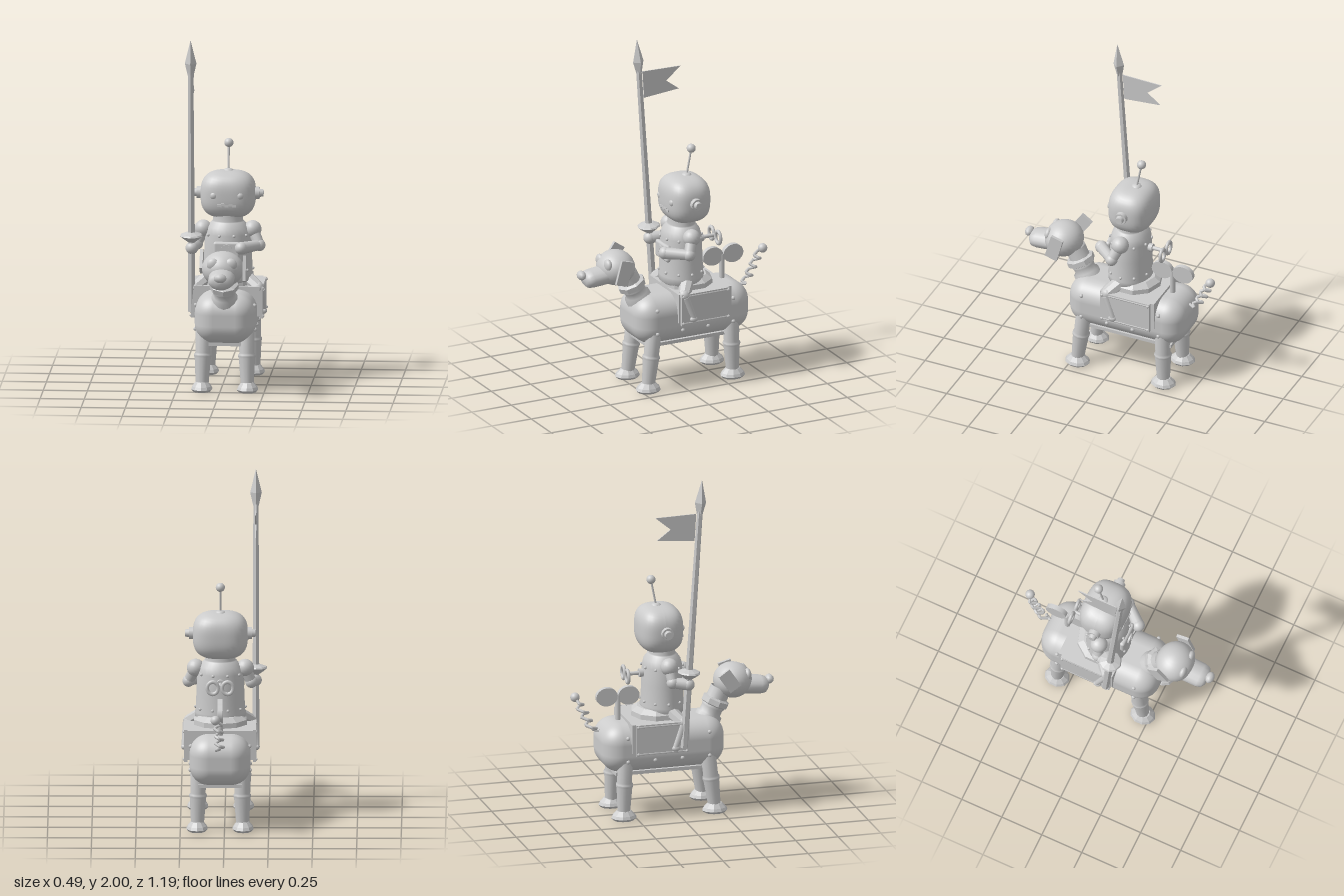
import * as THREE from 'three';
import { RoundedBoxGeometry } from 'three/addons/geometries/RoundedBoxGeometry.js';

const smooth = new THREE.MeshStandardMaterial({ color: 0xcccccc, side: THREE.DoubleSide });
const faceted = new THREE.MeshStandardMaterial({ color: 0xcccccc, side: THREE.DoubleSide, flatShading: true });
const V = (x, y, z) => new THREE.Vector3(x, y, z);

export function createModel() {
  const model = new THREE.Group();
  const root = new THREE.Group();
  root.name = 'toyRider';
  root.position.x = 0.025;
  model.add(root);

  const add = (name, geo, x = 0, y = 0, z = 0, mat = smooth) => {
    const m = new THREE.Mesh(geo, mat);
    m.name = name;
    m.position.set(x, y, z);
    root.add(m);
    return m;
  };
  const ball = (name, r, x, y, z, sx = 1, sy = 1, sz = 1, seg = 20) => {
    const m = add(name, new THREE.SphereGeometry(r, seg, Math.ceil(seg * 0.6)), x, y, z);
    m.scale.set(sx, sy, sz);
    return m;
  };
  const box = (name, w, h, d, x, y, z) => add(name, new THREE.BoxGeometry(w, h, d), x, y, z, faceted);
  // Lathe along the line from a to b; profile points are [radius, distance from a]
  const turned = (name, a, b, profile, seg = 12, mat = smooth) => {
    const m = add(name, new THREE.LatheGeometry(profile.map(p => new THREE.Vector2(...p)), seg), a.x, a.y, a.z, mat);
    m.quaternion.setFromUnitVectors(V(0, 1, 0), b.clone().sub(a).normalize());
    return m;
  };
  const rod = (name, a, b, r1, r2 = r1, seg = 12, mat = smooth) => {
    const m = add(name, new THREE.CylinderGeometry(r2, r1, a.distanceTo(b), seg), 0, 0, 0, mat);
    m.position.copy(a).lerp(b, 0.5);
    m.quaternion.setFromUnitVectors(V(0, 1, 0), b.clone().sub(a).normalize());
    return m;
  };
  // Sphere pushed out toward a box
  const superBall = (name, w, h, d, n, x, y, z) => {
    const g = new THREE.SphereGeometry(1, 40, 28), p = g.attributes.position;
    for (let i = 0; i < p.count; i++) {
      const v = V().fromBufferAttribute(p, i);
      const k = (Math.abs(v.x) ** n + Math.abs(v.y) ** n + Math.abs(v.z) ** n) ** (-1 / n);
      p.setXYZ(i, v.x * k * w / 2, v.y * k * h / 2, v.z * k * d / 2);
    }
    g.computeVertexNormals();
    return add(name, g, x, y, z);
  };

  // Dog body, belly plate and saddle box
  add('dogBody', new RoundedBoxGeometry(0.345, 0.285, 0.72, 6, 0.11), 0, 0.413, -0.083);
  box('bellyPlate', 0.25, 0.02, 0.58, 0, 0.27, -0.08);
  box('saddleBox', 0.37, 0.17, 0.335, 0, 0.487, -0.123);
  for (const s of [-1, 1]) {
    box('sidePanel', 0.018, 0.185, 0.305, s * 0.194, 0.48, -0.118);
    for (const y of [0.4, 0.56]) rod('panelRail', V(s * 0.199, y, 0.035), V(s * 0.199, y, -0.27), 0.007, 0.007, 6);
    for (const z of [0.025, -0.26]) for (const y of [0.4, 0.56]) ball('panelRivet', 0.009, s * 0.203, y, z, 1, 1, 1, 8);
    for (const z of [0.17, -0.31]) ball('bodyRivet', 0.012, s * 0.166, 0.488, z, 1, 1, 1, 8);
    for (const z of [0.17, 0.01, -0.15, -0.31]) ball('lowerRivet', 0.012, s * 0.168, 0.35, z, 1, 1, 1, 8);
  }

  // Dog legs with knee ring and domed foot
  for (const s of [-1, 1]) for (const [zTop, zFoot] of [[0.17, 0.21], [-0.315, -0.325]]) {
    const a = V(s * 0.128, 0.03, zFoot), b = V(s * 0.122, 0.37, zTop);
    turned('dogLeg', a, b, [[0.036, 0], [0.046, 0.16], [0.05, 0.17], [0.05, 0.18], [0.043, 0.19], [0.046, 0.33], [0.03, 0.36], [0, 0.365]]);
    const foot = turned('dogFoot', V(s * 0.13, 0, zFoot), V(s * 0.13, 1, zFoot),
      [[0, 0], [0.05, 0], [0.062, 0.014], [0.055, 0.03], [0.035, 0.055], [0, 0.058]], 10, faceted);
    foot.scale.z = 1.2;
  }

  // Dog neck, collar and head
  turned('dogNeck', V(0, 0.49, 0.19), V(0, 0.68, 0.28), [[0.08, 0], [0.075, 0.06], [0.062, 0.065], [0.062, 0.1], [0.068, 0.11], [0.06, 0.125], [0.06, 0.22]], 14);
  turned('dogCollar', V(0, 0.59, 0.24), V(0, 0.69, 0.285), [[0.06, 0], [0.082, 0.01], [0.082, 0.04], [0.06, 0.05]], 8, faceted);
  ball('dogHead', 0.11, 0, 0.732, 0.352, 1.08, 0.92, 1, 28);
  turned('dogSnout', V(0, 0.7, 0.42), V(0, 0.685, 0.57), [[0.075, 0], [0.073, 0.09], [0.064, 0.12], [0.04, 0.135], [0, 0.138]], 16).scale.z = 0.72;
  ball('dogNose', 0.03, 0, 0.718, 0.568, 1.2, 0.9, 0.85, 10);
  for (const s of [-1, 1]) {
    ball('dogEye', 0.036, s * 0.05, 0.77, 0.425, 1, 1, 0.6);
    const ear = box('dogEar', 0.018, s > 0 ? 0.145 : 0.12, 0.075, s * 0.124, s > 0 ? 0.735 : 0.765, s > 0 ? 0.358 : 0.3);
    ear.rotation.x = s > 0 ? -0.27 : -0.6;
  }

  // Spring tail
  const tail = [V(0, 0.5, -0.43)];
  for (let i = 0; i <= 14; i++) {
    const t = i / 14, a = i * Math.PI / 2;
    tail.push(V(Math.cos(a) * 0.024 + t * 0.01, 0.5 + t * 0.17, -0.468 - t * 0.085 + Math.sin(a) * 0.028));
  }
  tail.push(V(0.025, 0.7, -0.568));
  const path = new THREE.CurvePath();
  for (let i = 1; i < tail.length; i++) path.add(new THREE.LineCurve3(tail[i - 1], tail[i]));
  add('springTail', new THREE.TubeGeometry(path, 64, 0.009, 6));
  ball('tailTip', 0.027, 0.025, 0.7, -0.568);

  // Wind-up key on the dog's rump
  rod('dogKeyPost', V(0, 0.53, -0.322), V(0, 0.7, -0.322), 0.016);
  for (const s of [-1, 1]) {
    const wing = rod('dogKeyWing', V(-0.014, 0.695, -0.325 + s * 0.064), V(0.014, 0.695, -0.325 + s * 0.064), 0.054, 0.054, 20);
    wing.scale.z = 1.17;
  }

  // Seat and robot torso
  const seat = turned('seat', V(0, 0.57, -0.095), V(0, 1, -0.095), [[0, 0], [0.15, 0], [0.148, 0.03], [0.115, 0.055], [0, 0.056]], 10, faceted);
  seat.scale.x = 1.05;
  const torso = turned('torso', V(0, 0.58, -0.063), V(0, 2, -0.063),
    [[0, 0], [0.12, 0], [0.143, 0.02], [0.145, 0.055], [0.14, 0.06], [0.135, 0.18], [0.13, 0.28], [0.118, 0.32], [0.092, 0.35], [0.085, 0.355], [0.085, 0.4]], 28);
  torso.scale.z = 0.87;
  for (const [y, r] of [[0.66, 0.141], [0.86, 0.133]]) for (let i = 0; i < 10; i++) {
    const a = (i + 0.5) * Math.PI / 5;
    ball('torsoRivet', 0.009, Math.sin(a) * r, y, -0.063 + Math.cos(a) * r * 0.87, 1, 1, 1, 8);
  }
  add('chestPlate', new RoundedBoxGeometry(0.15, 0.1, 0.03, 3, 0.014), 0, 0.78, 0.05);
  rod('chestDial', V(0, 0.785, 0.06), V(0, 0.785, 0.075), 0.032, 0.032, 18);
  box('dialNeedle', 0.006, 0.026, 0.006, 0.004, 0.793, 0.076).rotation.z = -0.5;

  // Wind-up key on the robot's back
  rod('backKeyCollar', V(0, 0.82, -0.16), V(0, 0.82, -0.2), 0.024);
  rod('backKeyShaft', V(0, 0.82, -0.17), V(0, 0.82, -0.28), 0.011);
  for (const s of [-1, 1]) {
    add('backKeyRing', new THREE.TorusGeometry(0.031, 0.01, 8, 20), s * 0.042, 0.818, -0.278).scale.y = 1.15;
  }

  // Robot head
  superBall('robotHead', 0.312, 0.268, 0.258, 2.9, 0, 1.083, -0.083);
  for (const s of [-1, 1]) {
    rod('earCap', V(s * 0.14, 1.09, -0.078), V(s * 0.178, 1.09, -0.078), 0.036, 0.034, 18);
    rod('earKnob', V(s * 0.175, 1.09, -0.078), V(s * 0.2, 1.09, -0.078), 0.024, 0.02, 14);
    ball('robotEye', 0.021, s * 0.074, 1.09, 0.032, 1, 1, 0.7, 14);
  }
  for (let i = 0; i < 5; i++) box('mouth', 0.023, 0.014, 0.02, (i - 2) * 0.021, 1.037 + (i % 2 ? 0.004 : -0.002), 0.037);
  ball('antennaBase', 0.03, 0, 1.21, -0.098, 1, 0.6, 1, 14);
  rod('antenna', V(0, 1.21, -0.098), V(0, 1.36, -0.127), 0.006, 0.006, 8);
  ball('antennaBall', 0.026, 0, 1.368, -0.128);

  // Arms: one bent across the front, one gripping the lance
  const arms = [
    [V(0.14, 0.885, -0.06), V(0.18, 0.8, -0.025), V(0.085, 0.8, 0.082)],
    [V(-0.14, 0.885, -0.06), V(-0.175, 0.8, -0.05), V(-0.198, 0.79, 0.035)],
  ];
  for (const [shoulder, elbow, hand] of arms) {
    ball('shoulder', 0.05, shoulder.x, shoulder.y, shoulder.z);
    rod('upperArm', shoulder, elbow, 0.034, 0.03);
    ball('elbow', 0.035, elbow.x, elbow.y, elbow.z);
    rod('forearm', elbow, hand, 0.029, 0.035);
    ball('hand', 0.036, hand.x, hand.y, hand.z);
  }

  // Robot legs
  for (const s of [-1, 1]) {
    rod('thigh', V(s * 0.09, 0.62, -0.06), V(s * 0.175, 0.56, 0.005), 0.045, 0.036, 8, faceted);
    ball('knee', 0.035, s * 0.178, 0.56, 0.005, 0.9, 1, 1, 12);
    rod('shin', V(s * 0.19, 0.55, 0.005), V(s * 0.206, 0.42, -0.045), 0.024, 0.015, 8);
    ball('robotFoot', 0.02, s * 0.207, 0.42, -0.04, 0.8, 0.9, 1.2, 10);
  }

  // Lance with guard, tip and pennant
  const at = y => V(-0.2, y, 0.115 - 0.067 * (2 - y));
  rod('lanceShaft', at(0.42), at(1.84), 0.023, 0.017, 6, faceted);
  turned('lanceTip', at(1.79), at(2), [[0.016, 0], [0.033, 0.075], [0, 0.21]], 4, faceted);
  turned('lanceGuard', at(0.825), at(2), [[0.02, 0], [0.045, 0.018], [0.066, 0.036], [0.06, 0.044], [0.022, 0.058]], 10, faceted);
  const flag = new THREE.Shape([[-0.08, 1.8], [0.16, 1.795], [0.07, 1.72], [0.15, 1.66], [-0.07, 1.64]].map(p => new THREE.Vector2(...p)));
  const pennant = add('pennant', new THREE.ExtrudeGeometry(flag, { depth: 0.006, bevelEnabled: false }), -0.203, 0, 0, faceted);
  pennant.rotation.y = Math.PI / 2;

  return model;
}
